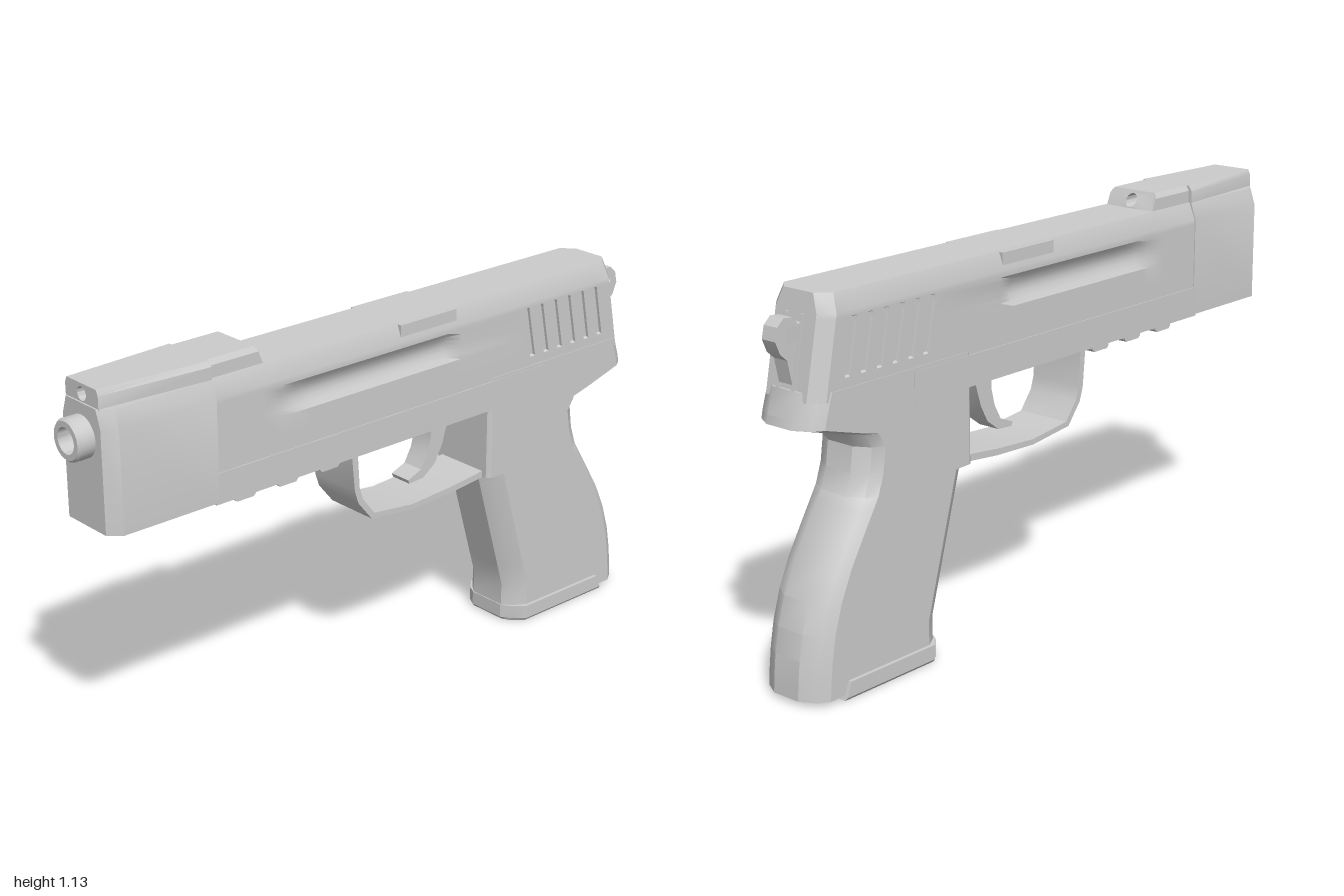
import * as THREE from 'three';
import { toCreasedNormals } from 'three/addons/utils/BufferGeometryUtils.js';

const material = new THREE.MeshStandardMaterial({ color: 0xcccccc });

function addPart(group, name, geometry, crease = 0.5) {
  const mesh = new THREE.Mesh(toCreasedNormals(geometry, crease), material);
  mesh.name = name;
  group.add(mesh);
  return mesh;
}

// closes a +z half outline with its mirror image
const ring = (half) => [...half, ...half.slice().reverse().map(([x, y, z]) => [x, y, -z])];

// skins a row of rings and caps both ends
function loft(rings) {
  const n = rings[0].length, index = [];
  for (let i = 0; i < rings.length - 1; i++) {
    for (let j = 0; j < n; j++) {
      const a = i * n + j, b = i * n + (j + 1) % n;
      index.push(a, b, b + n, a, b + n, a + n);
    }
  }
  const e = (rings.length - 1) * n;
  for (let j = 1; j < n - 1; j++) index.push(0, j + 1, j, e, e + j, e + j + 1);
  const g = new THREE.BufferGeometry();
  g.setAttribute('position', new THREE.Float32BufferAttribute(rings.flat(2), 3));
  g.setIndex(index);
  return g.toNonIndexed();
}

// side-view outline extruded symmetrically in z
function plate(points, halfWidth, hole) {
  const shape = new THREE.Shape(points.map((p) => new THREE.Vector2(...p)));
  if (hole) shape.holes.push(new THREE.Path().absarc(...hole, 0, Math.PI * 2, true));
  const g = new THREE.ExtrudeGeometry(shape, { depth: 2 * halfWidth, bevelEnabled: false, curveSegments: 20 });
  return g.translate(0, 0, -halfWidth);
}

// slide: chamfered bar with a scooped flank, slanted slots and a leaning rear
function slideGeometry() {
  const rows = [1.03, 1.016, 1.012, 1, 0.985, 0.97, 0.955, 0.94, 0.925, 0.866, 0.862, 0.81];
  const stations = [[-0.61], [-0.46]];
  for (let i = 0; i <= 14; i++) stations.push([-0.44 + i * 0.05]);
  for (let i = 0; i < 6; i++) {
    const x = 0.5 + i * 0.057;
    stations.push([x], [x + 0.001, 0.008], [x + 0.019, 0.008], [x + 0.02]);
  }
  stations.push([0.86], [0.895, 0, 0.035]);
  const { smoothstep } = THREE.MathUtils;
  return loft(stations.map(([x, slot = 0, inset = 0]) => {
    const lean = 0.2 * smoothstep(x, 0.28, 0.48);
    const scoop = 0.02 * smoothstep(x, -0.45, -0.3) * (1 - smoothstep(x, 0.2, 0.27));
    const half = rows.map((y) => {
      const t = THREE.MathUtils.clamp((y - 0.925) / 0.087, 0, 1);
      const dent = scoop * Math.sin(Math.PI * t) + (y > 0.863 && y < 1.014 ? slot : 0);
      return [x + (1.08 - y) * lean, y, 0.108 - inset - dent];
    });
    return ring([[x, 1.08, 0.088 - inset], ...half]);
  }));
}

// grip and rear of the frame: [y, front x, back x, front chamfer]
function gripGeometry() {
  const rows = [
    [0.012, 0.5, 0.985, 0.05], [0.06, 0.5, 0.982, 0.05], [0.12, 0.5, 0.975, 0.05],
    [0.19, 0.48, 0.962, 0.05], [0.27, 0.457, 0.937, 0.05], [0.35, 0.434, 0.9, 0.05],
    [0.43, 0.411, 0.852, 0.05], [0.49, 0.394, 0.815, 0.05], [0.52, 0.385, 0.797, 0.05],
    [0.521, 0.38, 0.796, 0.01], [0.58, 0.38, 0.776, 0.01], [0.65, 0.38, 0.766, 0.01],
    [0.69, 0.38, 0.79, 0.01], [0.708, 0.38, 0.86, 0.01], [0.742, 0.38, 0.977, 0.01],
    [0.765, 0.38, 0.972, 0.01], [0.835, 0.38, 0.95, 0.01],
  ];
  return loft(rows.map(([y, f, b, c]) => ring([
    [f, y, 0.11 - c], [f + c * 0.45, y, 0.11 - c * 0.45], [f + c * 1.2, y, 0.11],
    [b - 0.055, y, 0.11], [b - 0.025, y, 0.09], [b, y, 0.045],
  ])));
}

export function createModel() {
  const model = new THREE.Group();
  model.name = 'pistol';

  addPart(model, 'slide', slideGeometry());
  addPart(model, 'grip', gripGeometry());

  // nose block with a bevelled front face
  addPart(model, 'noseBlock', loft([[-0.95, 0.03], [-0.915, 0], [-0.61, 0]].map(([x, inset]) => ring([
    [x, 1.08, 0.094 - inset], [x, 1.03, 0.111 - inset], [x, 0.742, 0.111 - inset],
  ]))));
  addPart(model, 'frame', plate([[-0.62, 0.737], [0.6, 0.737], [0.6, 0.825], [-0.62, 0.825]], 0.111));

  // raised sight rib, bored along its length
  const sight = (name, x0, x1, halfWidth, adjust) => {
    const g = plate([[-halfWidth, 1.07], [halfWidth, 1.07], [halfWidth, 1.115], [halfWidth - 0.01, 1.13],
      [-halfWidth + 0.01, 1.13], [-halfWidth, 1.115]], (x1 - x0) / 2, [0, 1.102, 0.019]);
    g.rotateY(Math.PI / 2).translate((x0 + x1) / 2, 0, 0);
    const p = g.attributes.position;
    for (let i = 0; i < p.count; i++) adjust(p, i, p.getX(i), p.getY(i));
    addPart(model, name, g);
  };
  sight('frontRib', -0.945, -0.61, 0.094, (p, i, x) => {
    if (x < -0.9 && Math.abs(p.getZ(i)) > 0.05) p.setZ(i, p.getZ(i) * 0.75);
  });
  sight('sightRib', -0.61, -0.43, 0.084, (p, i, x, y) => {
    if (x > -0.5) p.setX(i, x - Math.max(0, y - 1.08) * 0.55);
  });

  // hollow muzzle
  const muzzle = new THREE.LatheGeometry([[0.036, 0], [0.036, 0.055], [0.052, 0.055], [0.058, 0.048], [0.058, 0]]
    .map((p) => new THREE.Vector2(...p)).reverse(), 28);
  const barrel = addPart(model, 'muzzle', muzzle.rotateZ(Math.PI / 2).translate(-0.945, 0.99, 0));
  barrel.material = material.clone();
  barrel.material.side = THREE.DoubleSide;

  // port blocks cut square into the upper chamfers
  for (const s of [1, -1]) {
    const port = new THREE.BoxGeometry(0.21, 0.048, 0.03).translate(0.14, 1.053, s * 0.088);
    addPart(model, s > 0 ? 'leftPort' : 'rightPort', port);
  }

  // accessory rail ridges
  for (const x of [-0.5, -0.353, -0.205]) {
    addPart(model, 'railRidge', plate([[x - 0.038, 0.75], [x - 0.036, 0.718], [x - 0.028, 0.71],
      [x + 0.028, 0.71], [x + 0.036, 0.718], [x + 0.038, 0.75]], 0.08));
  }

  addPart(model, 'triggerGuard', plate([[-0.13, 0.745], [-0.118, 0.62], [-0.105, 0.58], [-0.055, 0.518],
    [0.1, 0.5], [0.25, 0.506], [0.39, 0.52], [0.39, 0.54], [0.25, 0.525], [0.1, 0.516], [-0.045, 0.533],
    [-0.088, 0.588], [-0.1, 0.625], [-0.108, 0.745]], 0.085));

  addPart(model, 'trigger', plate([[0.215, 0.745], [0.218, 0.68], [0.205, 0.63], [0.18, 0.585], [0.13, 0.565],
    [0.135, 0.553], [0.19, 0.557], [0.235, 0.59], [0.262, 0.64], [0.295, 0.745]], 0.035));

  // hammer with its ring and the two rear cheeks around it
  addPart(model, 'hammer', plate([[0.87, 1.02], [0.92, 1.0], [0.94, 1.022], [0.97, 1.025], [0.992, 1.005], [1, 0.97],
    [0.985, 0.935], [0.962, 0.915], [0.948, 0.85], [0.92, 0.84]], 0.024, [0.945, 0.978, 0.023]));
  for (const z of [-0.027, 0.027]) {
    const cheek = plate([[0.88, 1.025], [0.912, 1.025], [0.952, 0.835], [0.92, 0.835]], 0.004);
    addPart(model, 'hammerCheek', cheek.translate(0, 0, z));
  }

  // magazine base, slightly wider than the grip
  addPart(model, 'magazineBase', loft([[0, 0.006], [0.008, 0], [0.05, 0]].map(([y, inset]) => ring([
    [0.497 + inset, y, 0.06], [0.515, y, 0.09 - inset], [0.55, y, 0.121 - inset],
    [0.885 - y * 0.4, y, 0.121 - inset],
  ]))));

  return model;
}
